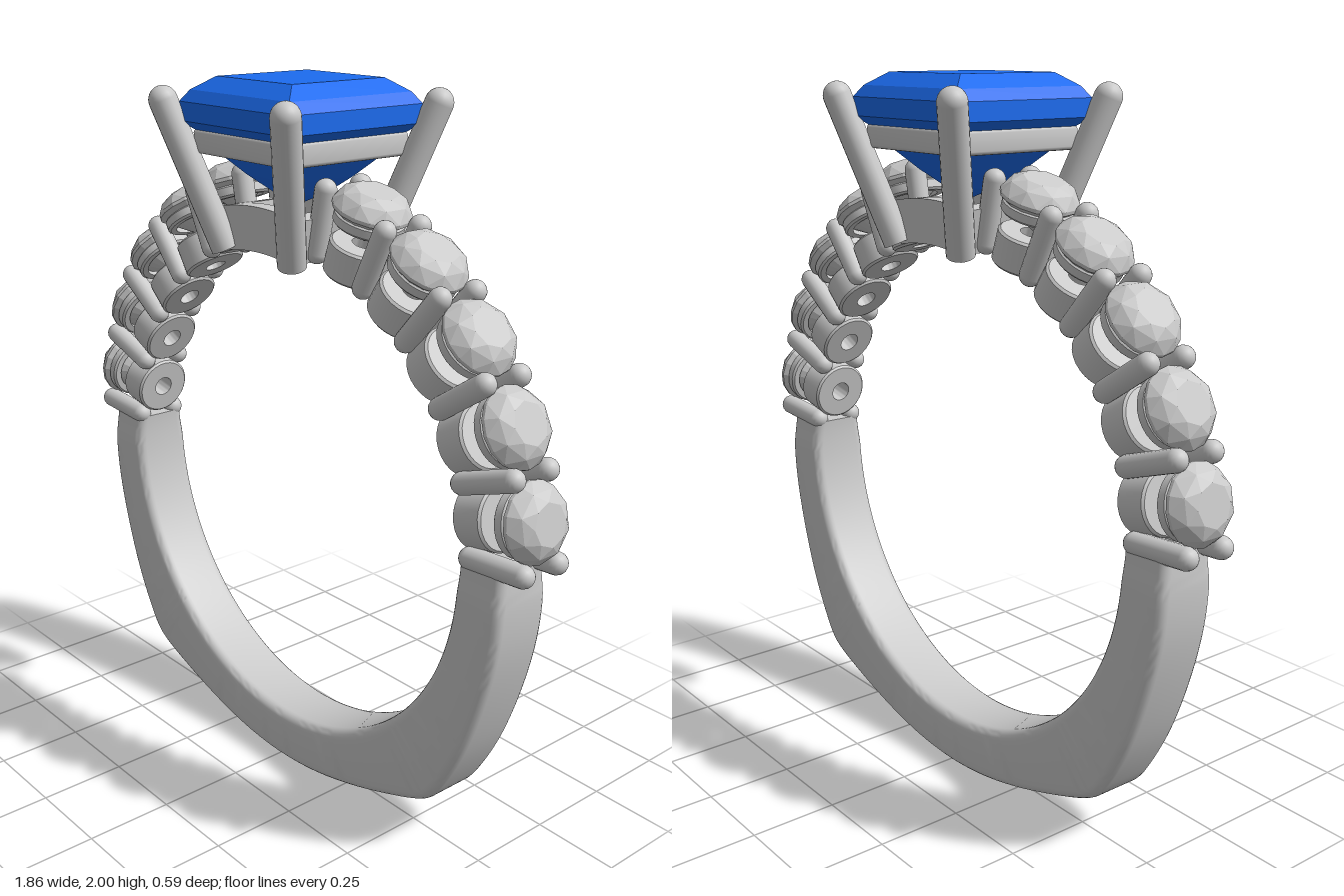
import * as THREE from 'three';
import { mergeGeometries, mergeVertices, toCreasedNormals } from 'three/addons/utils/BufferGeometryUtils.js';
import { ConvexGeometry } from 'three/addons/geometries/ConvexGeometry.js';

const CY = 0.855; // centre height of the finger hole
const RI = 0.70; // radius of the finger hole
const rad = THREE.MathUtils.degToRad;
const V2 = (x, y) => new THREE.Vector2(x, y);
const V3 = (x, y, z) => new THREE.Vector3(x, y, z);

const metal = new THREE.MeshStandardMaterial({ color: 0xcccccc });
const clear = new THREE.MeshStandardMaterial({ color: 0xcccccc, flatShading: true });
const blue = new THREE.MeshStandardMaterial({ color: 0x1c6cf0, flatShading: true });

function add(parent, name, geometry, material = metal) {
  const mesh = new THREE.Mesh(geometry, material);
  mesh.name = name;
  parent.add(mesh);
  return mesh;
}

// Lower band: rounded rectangle swept between the round hole and the outer outline
function shankGeometry() {
  const half = [[0.845, 0.905], [0.85, 0.8], [0.84, 0.68], [0.805, 0.53], [0.745, 0.36], [0.68, 0.235],
    [0.638, 0.175], [0.6, 0.147], [0.465, 0.093], [0.3, 0.042], [0.15, 0.011]];
  const pts = [...half, [0, 0], ...half.slice().reverse().map(([x, y]) => [-x, y])];
  const outline = new THREE.CatmullRomCurve3(pts.map(([x, y]) => V3(x, y, 0)), false, 'centripetal');
  const steps = 120, arc = 5, n = 4 * (arc + 1), c = 0.028;
  const pos = [], index = [];
  for (let k = 0; k <= steps; k++) {
    const p = outline.getPoint(k / steps);
    const dir = V3(p.x, p.y - CY, 0);
    const ro = dir.length();
    dir.normalize();
    const hr = (ro - RI) / 2, mid = (ro + RI) / 2;
    const hz = 0.092 - 0.01 * THREE.MathUtils.smoothstep(p.y, 0.78, 0.9);
    const ring = [[1, 1], [-1, 1], [-1, -1], [1, -1]];
    ring.forEach(([sr, sz], q) => {
      for (let i = 0; i <= arc; i++) {
        const a = (q + i / arc) * Math.PI / 2;
        const r = mid + sr * (hr - c) + c * Math.cos(a);
        pos.push(dir.x * r, CY + dir.y * r, sz * (hz - c) + c * Math.sin(a));
      }
    });
  }
  for (let k = 0; k < steps; k++) for (let i = 0; i < n; i++) {
    const a = k * n + i, d = k * n + (i + 1) % n;
    index.push(a, d + n, a + n, a, d, d + n);
  }
  const end = steps * n;
  for (let i = 1; i < n - 1; i++) {
    index.push(0, i + 1, i, end, end + i, end + i + 1);
  }
  const g = new THREE.BufferGeometry();
  g.setAttribute('position', new THREE.Float32BufferAttribute(pos, 3));
  g.setIndex(index);
  return toCreasedNormals(g, 0.7);
}

// Ring with square section, turned around y
function collar(rIn, rOut, y0, y1) {
  const p = [V2(rIn, y0), V2(rOut - 0.006, y0), V2(rOut, y0 + 0.006), V2(rOut, y1 - 0.006),
    V2(rOut - 0.006, y1), V2(rIn, y1), V2(rIn, y0)];
  return toCreasedNormals(new THREE.LatheGeometry(p, 28), 0.6);
}

// Round brilliant: table, crown, girdle, pavilion and culet
function brilliantGeometry() {
  const points = [V3(0, 0.795, 0)];
  const ring = (r, y, n, shift = 0) => {
    for (let i = 0; i < n; i++) {
      const a = (i + shift) / n * Math.PI * 2;
      points.push(V3(r * Math.cos(a), y, r * Math.sin(a)));
    }
  };
  ring(0.056, 0.938, 8);
  ring(0.086, 0.922, 8, 0.5);
  ring(0.105, 0.892, 16);
  ring(0.105, 0.882, 16);
  ring(0.05, 0.836, 8, 0.5);
  return new ConvexGeometry(points);
}

// Part of a circular band, concentric with the finger hole
function arcBlock(a0, a1, z0, z1) {
  const s = new THREE.Shape();
  s.absarc(0, CY, 0.82, rad(a0), rad(a1), false);
  s.absarc(0, CY, RI, rad(a1), rad(a0), true);
  const g = new THREE.ExtrudeGeometry(s, { depth: z1 - z0, bevelEnabled: false, curveSegments: 20 });
  return toCreasedNormals(g.translate(0, 0, z0), 0.5);
}

// Straight round bar with a domed tip
function prongGeometry(from, to, r) {
  const dir = to.clone().sub(from), len = dir.length();
  const rod = new THREE.CylinderGeometry(r, r, len, 20).translate(0, len / 2, 0);
  const tip = new THREE.SphereGeometry(r, 20, 8, 0, Math.PI * 2, 0, Math.PI / 2).translate(0, len, 0);
  const g = mergeGeometries([rod, tip]);
  g.applyQuaternion(new THREE.Quaternion().setFromUnitVectors(V3(0, 1, 0), dir.normalize()));
  return g.translate(from.x, from.y, from.z);
}

function buildHead() {
  const head = new THREE.Group();
  head.name = 'head';

  // Square-cut centre stone: four-sided turned profile with a bowed pavilion
  const profile = [[0, 1.67], [0.05, 1.70], [0.1, 1.745], [0.152, 1.80], [0.195, 1.86], [0.226, 1.885],
    [0.226, 1.935], [0.205, 1.965], [0.155, 2.0], [0, 2.0]];
  const stone = new THREE.LatheGeometry(profile.map(([r, y]) => V2(r * Math.SQRT2, y)), 4, Math.PI / 4);
  add(head, 'centreStone', stone, blue);

  // Square rail under the stone
  const square = (h, Type) => new Type([V2(-h, -h), V2(h, -h), V2(h, h), V2(-h, h)]);
  const rail = square(0.19, THREE.Shape);
  rail.holes.push(square(0.15, THREE.Path));
  const railGeo = new THREE.ExtrudeGeometry(rail,
    { depth: 0.045, bevelThickness: 0.01, bevelSize: 0.01, bevelSegments: 3 });
  railGeo.rotateX(-Math.PI / 2).translate(0, 1.81, 0);
  add(head, 'stoneRail', toCreasedNormals(railGeo, 0.6));

  // Corner prongs
  for (const sx of [1, -1]) for (const sz of [1, -1]) {
    add(head, 'cornerProng', prongGeometry(V3(sx * 0.142, 1.545, sz * 0.145), V3(sx * 0.255, 1.937, sz * 0.257), 0.039));
  }

  // Arched square base between the prongs
  for (const s of [1, -1]) {
    add(head, 'baseArch', arcBlock(79, 101, s > 0 ? 0.09 : -0.14, s > 0 ? 0.14 : -0.09));
    add(head, 'baseSide', arcBlock(90 + s * 9.25 - 1.75, 90 + s * 9.25 + 1.75, -0.1, 0.1));
  }
  return head;
}

export function createModel() {
  const ring = new THREE.Group();
  ring.name = 'ring';
  add(ring, 'shank', shankGeometry());
  ring.add(buildHead());

  const cup = collar(0.03, 0.088, 0.697, 0.79);
  const seat = collar(0.07, 0.094, 0.838, 0.872);
  const brilliant = brilliantGeometry();
  const smallProng = new THREE.CapsuleGeometry(0.03, 0.17, 6, 16).translate(0, 0.812, 0);

  // Local y points outward from the centre of the hole
  const spoke = (name, degrees) => {
    const g = new THREE.Group();
    g.name = name;
    g.position.y = CY;
    g.rotation.z = rad(degrees - 90);
    ring.add(g);
    return g;
  };

  // Five side stones on each shoulder with shared prong pairs between them
  for (const side of [1, -1]) {
    const angle = (a) => (side > 0 ? a : 180 - a);
    for (let i = 0; i < 6; i++) {
      const pair = spoke('prongPair', angle(3.8 + 15 * i));
      for (const z of [0.06, -0.06]) add(pair, 'smallProng', smallProng).position.z = z;
      if (i === 5) continue;
      const setting = spoke('sideSetting', angle(11.3 + 15 * i));
      add(setting, 'cup', cup);
      add(setting, 'seatRing', seat);
      add(setting, 'sideStone', brilliant, clear);
    }
  }
  return ring;
}
